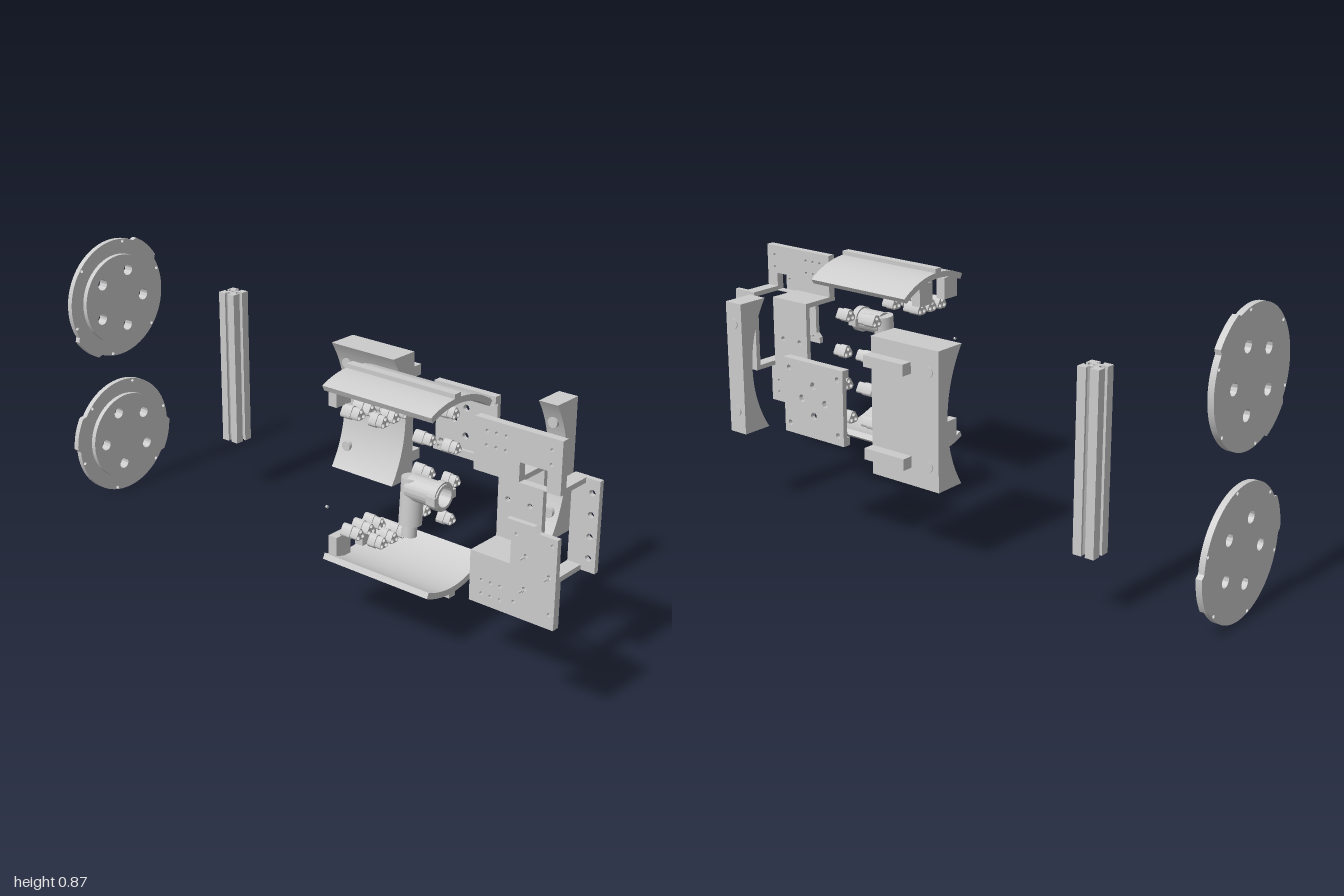
import * as THREE from 'three';
import { toCreasedNormals } from 'three/addons/utils/BufferGeometryUtils.js';

const MID = 0.4525; // height of the horizontal mirror plane
const mat = new THREE.MeshStandardMaterial({ color: 0xcccccc });

export function createModel() {
  const root = new THREE.Group();

  const add = (name, geo) => {
    const m = new THREE.Mesh(geo, mat);
    m.name = name;
    root.add(m);
    return m;
  };
  const box = (name, x0, x1, y0, y1, z0, z1) =>
    add(name, new THREE.BoxGeometry(x1 - x0, y1 - y0, z1 - z0)
      .translate((x0 + x1) / 2, (y0 + y1) / 2, (z0 + z1) / 2));
  const extrude = (shape, depth) => toCreasedNormals(
    new THREE.ExtrudeGeometry(shape, { depth, bevelEnabled: false, curveSegments: 32 }), 0.5);
  // profile drawn in (-z, y), swept along x
  const sweepX = (name, shape, x0, x1) =>
    add(name, extrude(shape, x1 - x0).rotateY(Math.PI / 2).translate(x0, 0, 0));
  // outline drawn in (x, y), swept along z
  const sweepZ = (name, shape, z0, z1) => add(name, extrude(shape, z1 - z0).translate(0, 0, z0));
  const poly = (pts) => new THREE.Shape(pts.map(([a, b]) => new THREE.Vector2(a, b)));
  const rect = (x0, x1, y0, y1) => poly([[x0, y0], [x1, y0], [x1, y1], [x0, y1]]);
  const hole = (shape, x, y, r) => {
    shape.holes.push(new THREE.Path().absarc(x, y, r, 0, Math.PI * 2, true));
    return shape;
  };
  const cyl = (name, r, a, b, sides = 32) => {
    const p = new THREE.Vector3(...a), q = new THREE.Vector3(...b);
    const m = add(name, new THREE.CylinderGeometry(r, r, p.distanceTo(q), sides));
    m.position.copy(p).add(q).multiplyScalar(0.5);
    m.quaternion.setFromUnitVectors(new THREE.Vector3(0, 1, 0), q.sub(p).normalize());
    return m;
  };

  // Two wheel discs: flange with two lobes and six rim holes, raised hub with five holes
  const rad = Math.PI / 180;
  for (const [cy, turn] of [[0.678, 0], [0.198, 116]]) {
    const cu = 0.034;
    const at = (deg, r) => [cu + r * Math.cos((deg + turn) * rad), cy + r * Math.sin((deg + turn) * rad)];
    const rim = [];
    for (let a = 0; a < 360; a += 3) {
      const b = a % 180;
      rim.push(at(a, b > 31 && b < 65 ? 0.205 : 0.194));
    }
    const flange = poly(rim);
    const hub = new THREE.Shape().absarc(cu, cy, 0.146, 0, Math.PI * 2);
    for (let i = 0; i < 6; i++) hole(flange, ...at(20 + 60 * i, 0.187), 0.0055);
    for (let i = 0; i < 5; i++) {
      const p = at(68 + 72 * i, 0.097);
      hole(flange, ...p, 0.018);
      hole(hub, ...p, 0.018);
    }
    sweepX('wheelFlange', flange, -1, -0.982);
    sweepX('wheelHub', hub, -0.982, -0.966);
  }

  // Slotted bar: one quarter of the section turned four times
  const quarter = [[0.033, -0.012], [0.033, -0.006], [0.026, -0.006], [0.026, -0.012], [0.013, -0.005],
    [0.013, 0.005], [0.026, 0.012], [0.026, 0.006], [0.033, 0.006], [0.033, 0.033]];
  const section = [];
  for (let i = 0; i < 4; i++) {
    const c = Math.round(Math.cos(i * Math.PI / 2)), s = Math.round(Math.sin(i * Math.PI / 2));
    for (const [x, y] of quarter.slice(1)) section.push([x * c - y * s, x * s + y * c]);
  }
  add('slottedBar', extrude(hole(poly(section), 0, 0, 0.006), 0.515)
    .rotateX(-Math.PI / 2).translate(-0.682, 0.19, -0.268));

  // Saddle blocks with a concave front
  const saddle = () => {
    const s = new THREE.Shape();
    s.moveTo(0.3, 0.245);
    s.lineTo(0.3, 0.655);
    s.lineTo(0.2, 0.655);
    const a = Math.atan2(0.205, 0.31);
    s.absarc(-0.11, 0.45, Math.hypot(0.31, 0.205), a, -a, true);
    s.lineTo(0.3, 0.245);
    return s;
  };
  sweepX('wideSaddle', saddle(), -0.198, 0.045);
  sweepX('narrowSaddle', saddle(), 0.562, 0.625);
  for (const y of [0.315, 0.59]) {
    box('saddleRib', -0.1, 0.045, y - 0.017, y + 0.017, -0.334, -0.3);
    for (const x of [-0.162, 0.594]) {
      cyl('saddleScrew', 0.016, [x, y, -0.303], [x, y, -0.225], 20);
    }
  }

  // Back plate with lips
  const back = rect(0.085, 0.313, 0.337, 0.561);
  for (const sx of [-1, 1]) {
    for (const sy of [-1, 1]) hole(back, 0.199 + sx * 0.093, 0.449 + sy * 0.083, 0.008);
    hole(back, 0.199 + sx * 0.045, 0.449, 0.011);
    hole(back, 0.199, 0.449 + sx * 0.045, 0.011);
  }
  sweepZ('backPlate', back, -0.376, -0.361);
  for (const y of [0.337, 0.537]) {
    const lip = rect(0.085, 0.313, y, y + 0.024);
    for (const x of [0.106, 0.292]) hole(lip, x, y === 0.337 ? 0.366 - 0.016 : 0.548, 0.006);
    sweepZ('backPlateLip', lip, -0.361, -0.35);
  }

  // Curved covers, top and bottom, each with a spine and two end posts
  for (const s of [1, -1]) {
    const yy = (v) => MID + s * v;
    const span = (name, x0, x1, v0, v1, z0, z1) =>
      box(name, x0, x1, Math.min(yy(v0), yy(v1)), Math.max(yy(v0), yy(v1)), z0, z1);
    const outer = [], inner = [];
    for (let i = 0; i <= 28; i++) {
      const a = (-25.2 + 61.5 * i / 28) * rad;
      const p = (r) => [-0.112 + r * Math.sin(a), yy(0.0225 + r * Math.cos(a))];
      outer.push(p(0.265));
      inner.unshift(p(0.247));
    }
    sweepX('curvedCover', poly([...outer, ...inner]), 0.14, 0.515);
    span('coverSpine', 0.14, 0.515, 0.28, 0.3, 0.098, 0.125);
    span('coverPost', 0.14, 0.17, 0.197, 0.264, 0.14, 0.2);
    span('coverPost', 0.14, 0.17, 0.197, 0.264, 0.025, 0.085);

    // Stepped bracket: perforated front flange and arms running back
    const flange = rect(0.595, 0.867, Math.min(yy(0.117), yy(0.267)), Math.max(yy(0.117), yy(0.267)));
    flange.holes.push(new THREE.Path(
      [[0.74, 0.116], [0.74, 0.172], [0.825, 0.172], [0.825, 0.116]]
        .map(([x, v]) => new THREE.Vector2(x, yy(v + 0.004)))));
    for (const x of [0.635, 0.665, 0.695, 0.835])
      for (const v of [0.195, 0.235]) hole(flange, x, yy(v), 0.005);
    sweepZ('bracketFlange', flange, 0.118, 0.143);
    span('bracketArm', 0.595, 0.74, 0.117, 0.132, 0.01, 0.118);
    span('bracketArm', 0.825, 0.867, 0.117, 0.132, 0.01, 0.118);
  }

  // Bracket bridges joining the upper and lower arms
  const wide = rect(0.595, 0.74, 0.321, 0.584);
  hole(wide, 0.628, MID, 0.008);
  hole(wide, 0.7, MID, 0.008);
  sweepZ('bracketBridge', wide, 0.01, 0.026);
  const strap = rect(0.825, 0.91, 0.321, 0.584);
  for (let i = 0; i < 4; i++) hole(strap, 0.888, 0.36 + 0.062 * i, 0.009);
  sweepZ('bracketStrap', strap, 0.01, 0.026);

  // Pipe tee: cross tube with collar and ears, tilted stepped branch
  const ring = hole(new THREE.Shape().absarc(-0.216, 0.502, 0.036, 0, Math.PI * 2), -0.216, 0.502, 0.028);
  sweepX('teePipe', ring, 0.45, 0.56);
  const collar = hole(new THREE.Shape().absarc(-0.216, 0.502, 0.041, 0, Math.PI * 2), -0.216, 0.502, 0.028);
  sweepX('teeCollar', collar, 0.535, 0.556);
  for (const z of [0.172, 0.25]) box('teeEar', 0.53, 0.56, 0.488, 0.512, z - 0.004, z + 0.01);
  cyl('teeBranch', 0.032, [0.452, 0.53, 0.214], [0.452, 0.397, 0.224]);
  cyl('teeOutlet', 0.021, [0.452, 0.4, 0.224], [0.452, 0.362, 0.228]);

  // Three-way connectors: rounded triangular shells with three bores, in mating halves
  const trefoil = (z, y, r, bore) => {
    const s = new THREE.Shape();
    const c = [90, 210, 330].map((a) => [-z + 0.011 * Math.cos(a * rad), y + 0.011 * Math.sin(a * rad), a]);
    for (const [u, v, a] of c) s.absarc(u, v, r, (a - 60) * rad, (a + 60) * rad);
    for (const [u, v] of c) hole(s, u, v, bore);
    return s;
  };
  const connector = (z, y, x0, x1) => {
    sweepX('connectorSocket', trefoil(z, y, 0.0105, 0.006), x0, x0 + 0.035);
    sweepX('connectorNeck', trefoil(z, y, 0.008, 0.006), x0 + 0.035, x0 + 0.06);
    sweepX('connectorPlug', trefoil(z, y, 0.0105, 0.006), x1, x1 + 0.025);
    sweepX('connectorTip', trefoil(z, y, 0.008, 0.006), x1 + 0.025, x1 + 0.045);
  };
  for (const z of [0.16, 0.113, 0.065])
    for (const y of [0.63, 0.267]) connector(z, y, 0.165, 0.265);
  for (const [z, y] of [[-0.066, 0.608], [-0.08, 0.498], [-0.08, 0.396], [-0.062, 0.284]])
    connector(z, y, 0.23, 0.335);

  // Thin side plate with its loose screws
  const side = poly([[0.845, 0.335], [0.995, 0.335], [0.995, 0.56], [0.94, 0.56], [0.925, 0.575],
    [0.845, 0.575], [0.845, 0.545], [0.86, 0.53], [0.86, 0.37], [0.845, 0.355]]);
  const spots = [[0.905, 0.49], [0.975, 0.455], [0.905, 0.4]];
  for (const [x, y] of spots) hole(side, x, y, 0.006);
  for (const x of [0.875, 0.98]) for (const y of [0.355, 0.54]) hole(side, x, y, 0.005);
  sweepZ('sidePlate', side, 0.329, 0.344);
  for (const [x, y] of spots) {
    cyl('screwShank', 0.0025, [x, y, 0.354], [x, y, 0.37], 12);
    cyl('screwHead', 0.005, [x, y, 0.352], [x, y, 0.356], 12);
  }
  box('thinStrip', 0.9, 0.92, 0.508, 0.545, 0.31, 0.313);
  cyl('boltShank', 0.004, [0.915, 0.488, 0.29], [0.915, 0.488, 0.303], 12);
  cyl('boltHead', 0.009, [0.915, 0.488, 0.293], [0.915, 0.488, 0.297], 12);
  cyl('pin', 0.004, [0.283, 0.447, 0.372], [0.289, 0.447, 0.372], 12);
  return root;
}
